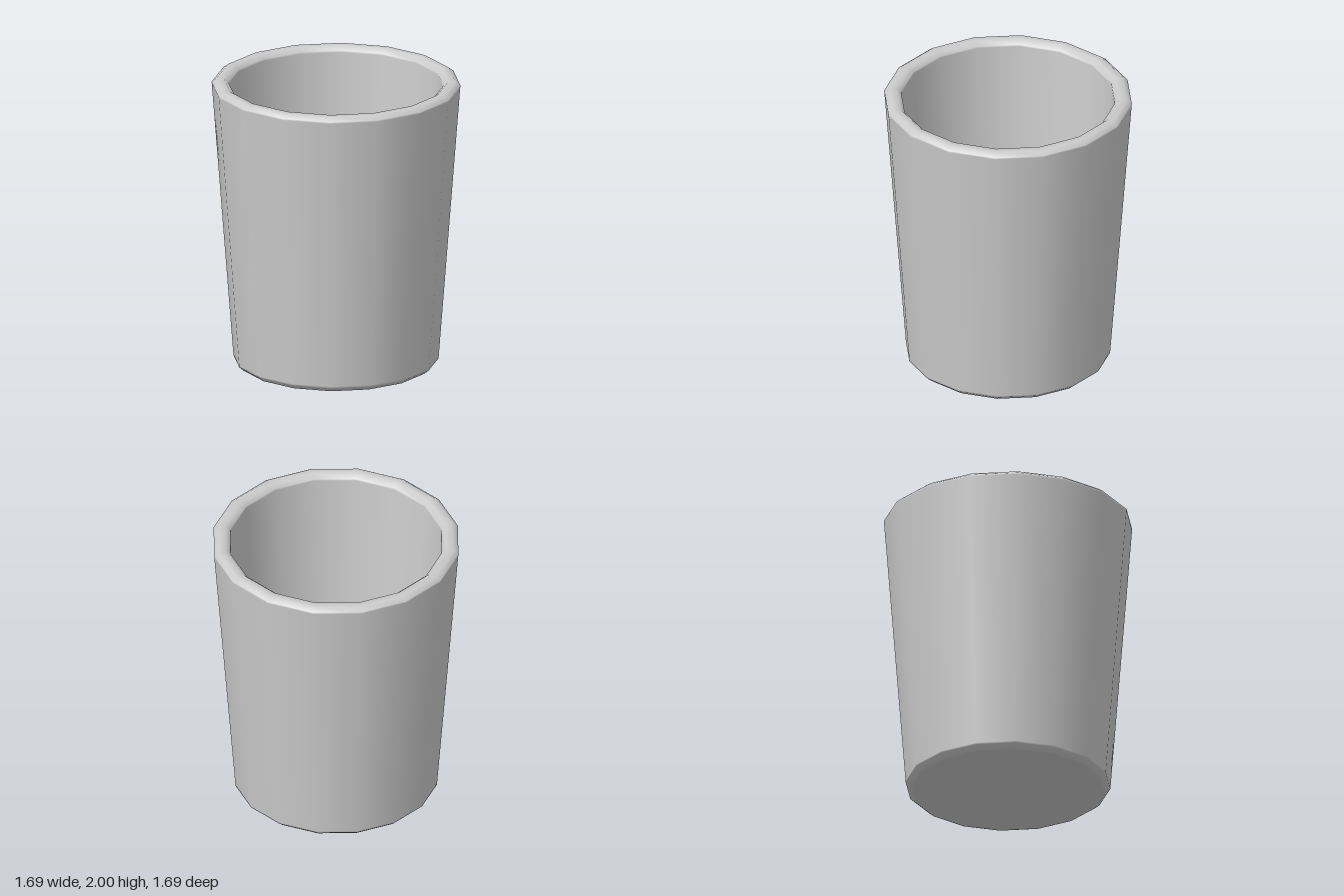
import * as THREE from 'three';

const SIDES = 16;

// Cross-section of the wall, from the centre of the underside, up and over the rim, to the centre of the inner floor
const PROFILE = [
  [0, 0], [0.66, 0], [0.695, 0.03],
  [0.843, 1.975], [0.81, 2], [0.76, 2], [0.728, 1.972],
  [0.592, 0.115], [0.58, 0.1], [0, 0.1],
].map(([r, y]) => new THREE.Vector2(r, y));

// Adds points close to the ends of long spans so that the smooth shading stays tight at the bevels
function withSupports(points, gap) {
  const out = [points[0]];
  for (let i = 1; i < points.length; i++) {
    const a = points[i - 1], b = points[i], length = a.distanceTo(b);
    if (length > 0.2) {
      if (a.x > 0) out.push(a.clone().lerp(b, gap / length));
      if (b.x > 0) out.push(b.clone().lerp(a, gap / length));
    }
    out.push(b);
  }
  return out;
}

export function createModel() {
  const group = new THREE.Group();
  group.name = 'cup';

  // Tapered hollow cup with bevelled base and rim
  const cup = new THREE.Mesh(
    new THREE.LatheGeometry(withSupports(PROFILE, 0.012), SIDES),
    new THREE.MeshStandardMaterial({ color: 0xcccccc }),
  );
  cup.name = 'cupBody';
  group.add(cup);
  return group;
}
